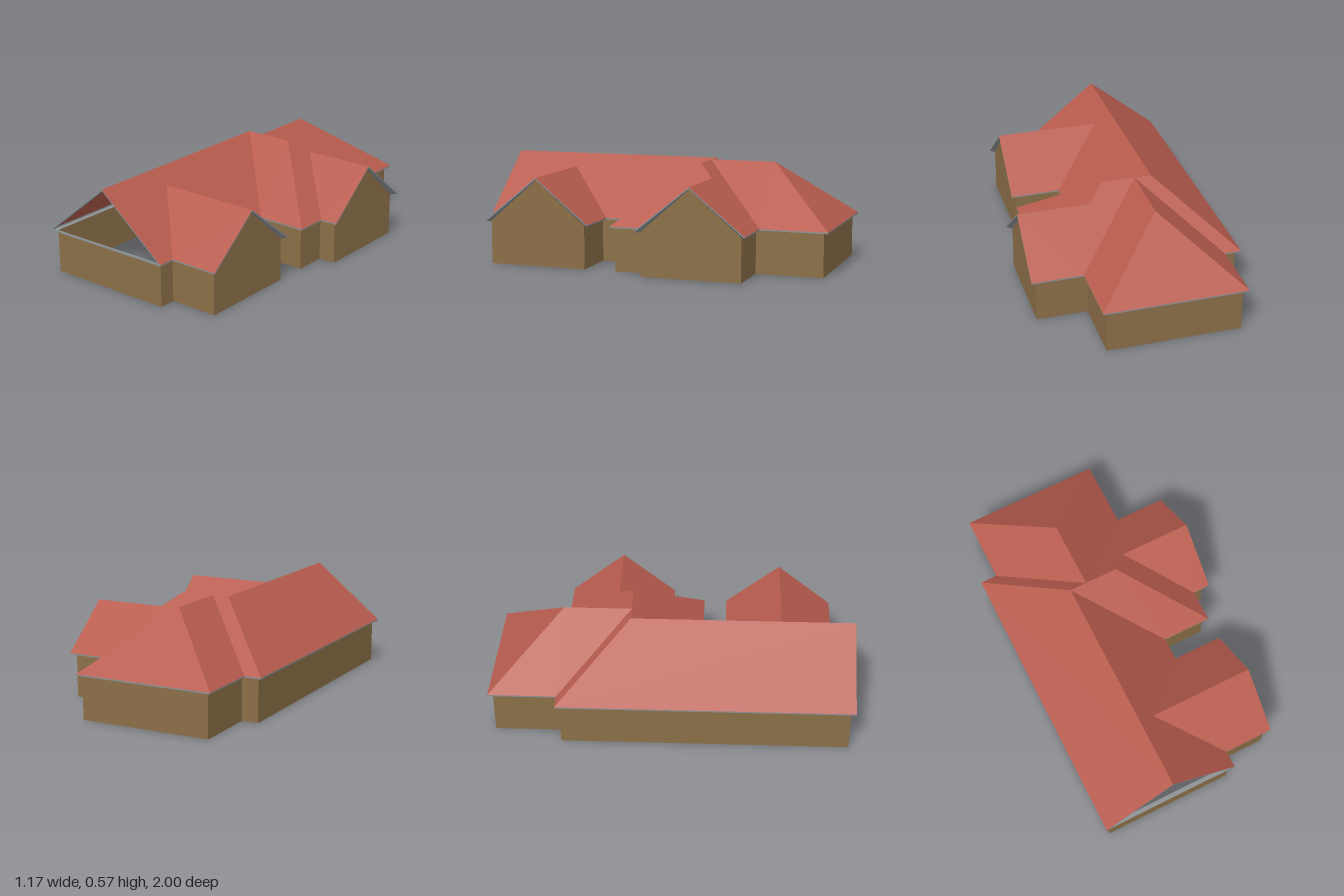
import * as THREE from 'three';

const EAVE = 0.25, LOW = 0.497, RIDGE = 0.57, BAND = 0.008;

const make = (name, hex) => {
  const m = new THREE.MeshStandardMaterial({ color: hex, side: THREE.DoubleSide });
  m.name = name;
  return m;
};

// Mesh from a list of triangles, each of three [x, y, z] points
function mesh(name, tris, material) {
  const g = new THREE.BufferGeometry();
  g.setAttribute('position', new THREE.Float32BufferAttribute(tris.flat(2), 3));
  g.computeVertexNormals();
  const m = new THREE.Mesh(g, material);
  m.name = name;
  return m;
}

const quad = (a, b, c, d) => [[a, b, c], [a, c, d]];
const drop = ([x, y, z], d) => [x, y - d, z];

// Roof plane: triangulated in plan, always facing up
function plane(pts) {
  const flat = pts.map(p => new THREE.Vector2(p[0], p[2]));
  return THREE.ShapeUtils.triangulateShape(flat, []).map(f => {
    const [a, b, c] = f.map(i => pts[i]);
    const up = (b[2] - a[2]) * (c[0] - a[0]) - (b[0] - a[0]) * (c[2] - a[2]);
    return up > 0 ? [a, b, c] : [a, c, b];
  });
}

export function createModel() {
  const house = new THREE.Group();
  house.name = 'house';
  const roofRed = make('roof red', 0xb85c4e);
  const wallBrown = make('wall brown', 0x8b6f47);
  const trimGrey = make('trim grey', 0x8c9194);

  const E = (x, z) => [x, EAVE, z];
  const L = (x, z) => [x, LOW, z];
  const R = (x, z) => [x, RIDGE, z];

  // Shared ridge points
  const front = R(-0.19, 1), west = R(-0.19, -0.23), mid = R(-0.095, -0.23);
  const north = R(-0.095, -0.605), east = R(0.09, -0.23);
  const lowIn = L(0.18, -0.32), lowOut = L(0.585, -0.32);
  const wingIn = L(-0.1, 0.6), wingOut = L(0.485, 0.6);

  const roof = {
    mainRoofRight: [E(-0.585, 1), front, west, E(-0.585, -0.625)],
    mainRoofLeft: [front, E(0.205, 1), E(0.205, 0.905), wingIn, E(0.205, 0.295), E(0.205, 0.165), west],
    crossRoofFront: [west, E(0.205, 0.165), E(0.485, 0.165), east],
    crossRoofHip: [east, E(0.485, 0.165), E(0.485, -0.015), lowIn],
    crossRoofBackRight: [E(-0.585, -0.625), west, mid, E(-0.49, -0.625)],
    crossRoofBackLeft: [mid, east, lowIn, lowOut, E(0.585, -0.625), E(0.3, -0.625)],
    sideGableFront: [lowIn, E(0.485, -0.015), E(0.585, -0.015), lowOut],
    frontWingFront: [wingIn, E(0.205, 0.905), E(0.485, 0.905), wingOut],
    frontWingBack: [wingIn, wingOut, E(0.485, 0.295), E(0.205, 0.295)],
    backRoofRight: [E(-0.49, -1), E(-0.49, -0.625), mid, north],
    backRoofLeft: [E(0.3, -1), north, mid, E(0.3, -0.625)],
    backRoofHip: [E(-0.49, -1), north, E(0.3, -1)],
  };
  for (const [name, pts] of Object.entries(roof)) house.add(mesh(name, plane(pts), roofRed));

  // Eave outline and matching wall line, rising to a peak at each side gable
  const outline = [
    [E(-0.585, 1), -0.558, 0.975], [E(0.205, 1), 0.183, 0.975],
    [E(0.205, 0.905), 0.183, 0.882], [E(0.485, 0.905), 0.46, 0.882],
    [wingOut, 0.46, 0.6],
    [E(0.485, 0.295), 0.46, 0.322], [E(0.205, 0.295), 0.183, 0.322],
    [E(0.205, 0.165), 0.183, 0.14], [E(0.485, 0.165), 0.46, 0.14],
    [E(0.485, -0.015), 0.46, -0.042], [E(0.585, -0.015), 0.557, -0.042],
    [lowOut, 0.557, -0.32],
    [E(0.585, -0.625), 0.557, -0.6], [E(0.3, -0.625), 0.275, -0.6],
    [E(0.3, -1), 0.275, -0.973], [E(-0.49, -1), -0.465, -0.973],
    [E(-0.49, -0.625), -0.465, -0.6], [E(-0.585, -0.625), -0.558, -0.6],
  ];
  const walls = [], fascia = [], soffit = [];

  // Fascia band and soffit strip below one roof edge
  const trimEdge = (a, b, ia, ib) => {
    const da = drop(a, BAND), db = drop(b, BAND);
    fascia.push(...quad(da, db, b, a));
    soffit.push(...quad(da, ia, ib, db));
  };

  outline.forEach(([a, ax, az], i) => {
    const [b, bx, bz] = outline[(i + 1) % outline.length];
    const ia = [ax, a[1] - BAND, az], ib = [bx, b[1] - BAND, bz];
    walls.push(...quad([ax, 0, az], [bx, 0, bz], ib, ia));
    trimEdge(a, b, ia, ib);
  });

  // Sloping trim of the open front gable
  const rake = [E(0.205, 1), front, E(-0.585, 1)];
  for (let i = 0; i < 2; i++) {
    const [a, b] = [rake[i], rake[i + 1]];
    const inner = p => [p[0], p[1] - BAND, 0.975];
    trimEdge(b, a, inner(b), inner(a));
  }

  house.add(mesh('walls', walls, wallBrown));
  house.add(mesh('fascia', fascia, trimGrey));
  house.add(mesh('soffit', soffit, trimGrey));
  return house;
}
